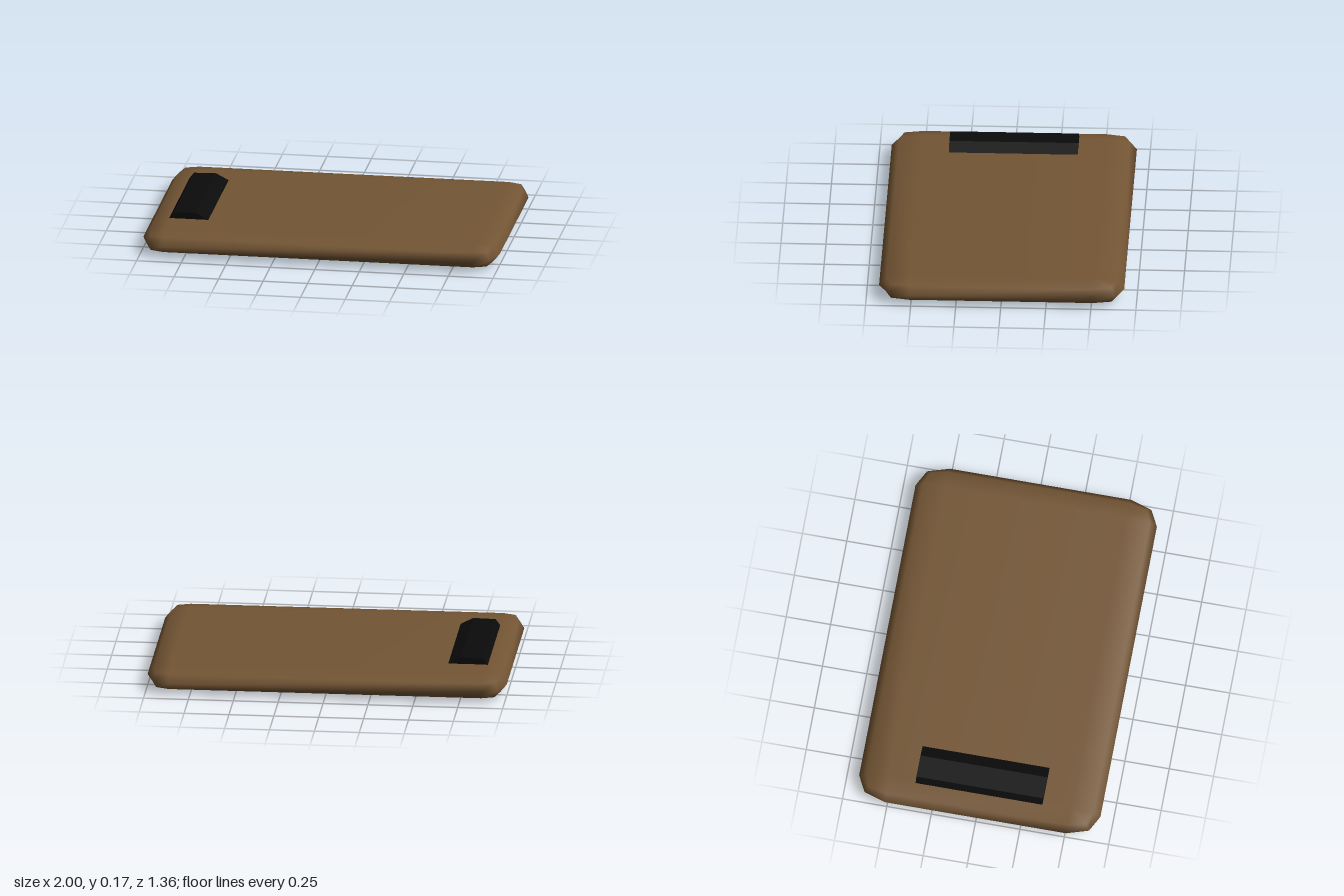
import * as THREE from 'three';
import { mergeVertices } from 'three/addons/utils/BufferGeometryUtils.js';

// Horizontal outline: half extents ex/ez on the sides, corner point cx/cz
function ring(y, ex, ez, cx, cz) {
  const quarter = [[ex, 0.51], [cx, cz], [0.87, ez]];
  const mirrored = quarter.map(([x, z]) => [-x, z]).reverse();
  const half = [...quarter, ...mirrored];
  const back = half.map(([x, z]) => [x, -z]).reverse();
  return [...half, ...back].map(([x, z]) => [x, y, z]);
}

// Skin stacked outlines and close both ends
function loft(rings) {
  const n = rings[0].length, index = [];
  const points = rings.flat();
  const bottom = points.push([0, rings[0][0][1], 0]) - 1;
  const top = points.push([0, rings.at(-1)[0][1], 0]) - 1;
  const last = (rings.length - 1) * n;
  for (let i = 0; i < n; i++) {
    const j = (i + 1) % n;
    for (let r = 0; r < last; r += n) {
      index.push(r + i, r + n + i, r + j, r + j, r + n + i, r + n + j);
    }
    index.push(bottom, i, j, top, last + j, last + i);
  }
  const geometry = new THREE.BufferGeometry();
  geometry.setAttribute('position', new THREE.Float32BufferAttribute(points.flat(), 3));
  geometry.setIndex(index);
  const merged = mergeVertices(geometry, 1e-4);
  merged.computeVertexNormals();
  return merged;
}

export function createModel() {
  const model = new THREE.Group();
  model.name = 'clipboard';

  // Softly rounded board
  const board = new THREE.Mesh(
    loft([
      ring(0.004, 0.87, 0.51, 0.87, 0.51),
      ring(0.026, 0.965, 0.64, 0.943, 0.612),
      ring(0.068, 1.0, 0.68, 0.962, 0.632),
      ring(0.11, 0.965, 0.64, 0.943, 0.612),
      ring(0.132, 0.87, 0.51, 0.87, 0.51),
    ]),
    new THREE.MeshStandardMaterial({ color: 0x735534 })
  );
  board.name = 'board';
  model.add(board);

  // Dark wedge-shaped clip running across one end
  const profile = new THREE.Shape([
    new THREE.Vector2(-0.88, 0.125),
    new THREE.Vector2(-0.66, 0.125),
    new THREE.Vector2(-0.66, 0.132),
    new THREE.Vector2(-0.73, 0.169),
    new THREE.Vector2(-0.855, 0.166),
    new THREE.Vector2(-0.88, 0.132),
  ]);
  const clip = new THREE.Mesh(
    new THREE.ExtrudeGeometry(profile, { depth: 0.715, bevelEnabled: false }),
    new THREE.MeshStandardMaterial({ color: 0x0b0b0b })
  );
  clip.position.z = -0.36;
  clip.name = 'clip';
  model.add(clip);

  return model;
}
